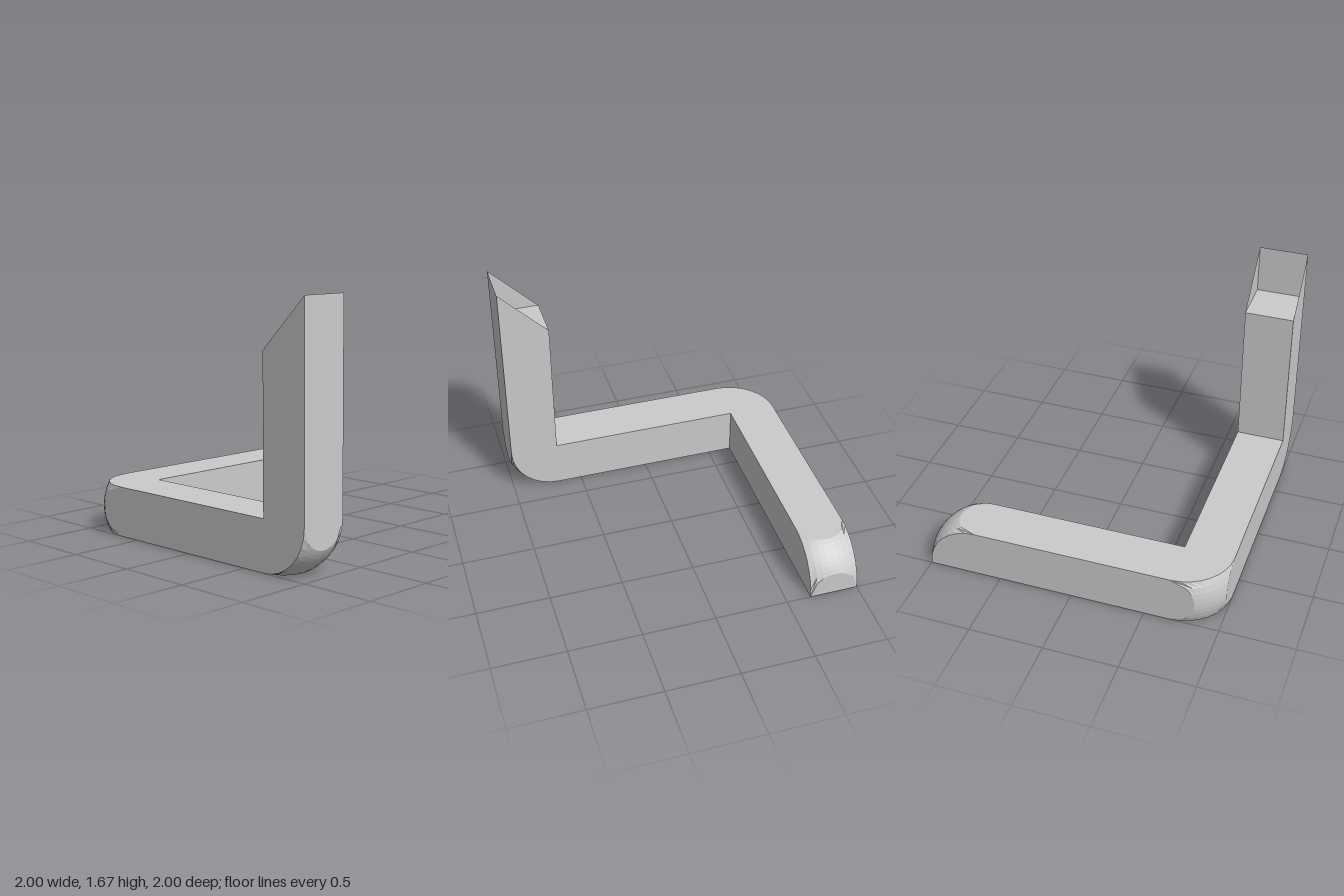
import * as THREE from 'three';

const W = 1 / 3;          // bar thickness
const H = W / 2;
const Q = Math.PI / 2;

const material = new THREE.MeshStandardMaterial({ color: 0xcccccc, flatShading: true });
const thinMaterial = material.clone();
thinMaterial.side = THREE.DoubleSide;

function add(parent, name, geometry, position, rotation = [0, 0, 0], mat = material) {
  const mesh = new THREE.Mesh(geometry, mat);
  mesh.name = name;
  mesh.position.set(...position);
  mesh.rotation.set(...rotation);
  parent.add(mesh);
  return mesh;
}

// Quarter of a cube corner trimmed by a sphere centred on its inner edge.
// The inner edge lies on z; the rounding faces +x +y.
function roundedCorner(rows = 8, steps = 8) {
  const R = Math.hypot(W, H);
  const grid = [];
  const row = (s, scale) => {
    const r = Math.sqrt(R * R - s * s);
    const a = Math.acos(Math.min(1, W / r));   // where the sphere meets the flat side
    const points = [[W, 0]];
    for (let j = 0; j <= steps; j++) {
      const t = a + (Q - 2 * a) * j / steps;
      points.push([r * Math.cos(t), r * Math.sin(t)]);
    }
    points.push([0, W]);
    grid.push(points.map(([x, y]) => [x * scale, y * scale, s]));
  };
  row(-H, 0);                                   // side face
  for (let i = 0; i <= rows; i++) row(-H + W * i / rows, 1);
  row(H, 0);                                    // opposite side face

  const positions = [];
  for (let i = 0; i < grid.length - 1; i++) {
    for (let j = 0; j < grid[i].length - 1; j++) {
      const a = grid[i][j], b = grid[i][j + 1], c = grid[i + 1][j + 1], d = grid[i + 1][j];
      // skip the collapsed half of quads that touch the centre line
      if (i < grid.length - 2) positions.push(...b, ...c, ...d);
      else positions.push(...a, ...b, ...d);
      if (i > 0 && i < grid.length - 2) positions.push(...a, ...b, ...d);
    }
  }
  const geometry = new THREE.BufferGeometry();
  geometry.setAttribute('position', new THREE.Float32BufferAttribute(positions, 3));
  geometry.computeVertexNormals();
  return geometry;
}

export function createModel() {
  const model = new THREE.Group();
  model.name = 'impossibleTriangle';
  const far = 1 - H;      // centre line of the outer bars
  const inner = 1 - W;    // inner edge of the bars

  // Three straight bars
  add(model, 'frontBar', new THREE.BoxGeometry(2 * inner, W, W), [0, H, far]);
  add(model, 'uprightBar', new THREE.BoxGeometry(W, 1, W), [far, W + 0.5, far]);
  add(model, 'sideBar', new THREE.BoxGeometry(W, W, 2 * inner), [-far, H, 0]);

  // Rounded joints and rounded free end
  const corner = roundedCorner();
  add(model, 'uprightJoint', corner, [inner, W, far], [0, 0, -Q]);
  add(model, 'sideJoint', corner, [-inner, H, inner], [Q, 0, Q]);
  add(model, 'roundedEnd', corner, [-far, 0, -inner], [0, Q, 0]);
  add(model, 'endUnderside', new THREE.PlaneGeometry(W, W), [-far, 0, -far], [Q, 0, 0]);

  // Open, slanted tip: two triangular walls and an outer wall
  const tip = new THREE.Group();
  tip.name = 'slantedTip';
  tip.position.set(inner, 1 + W, far);
  model.add(tip);
  const triangle = new THREE.ShapeGeometry(new THREE.Shape([
    new THREE.Vector2(0, 0), new THREE.Vector2(W, 0), new THREE.Vector2(W, W),
  ]));
  add(tip, 'frontTipWall', triangle, [0, 0, H], [0, 0, 0], thinMaterial);
  add(tip, 'backTipWall', triangle, [0, 0, -H], [0, 0, 0], thinMaterial);
  add(tip, 'outerTipWall', new THREE.PlaneGeometry(W, W), [W, H, 0], [0, Q, 0], thinMaterial);

  return model;
}
